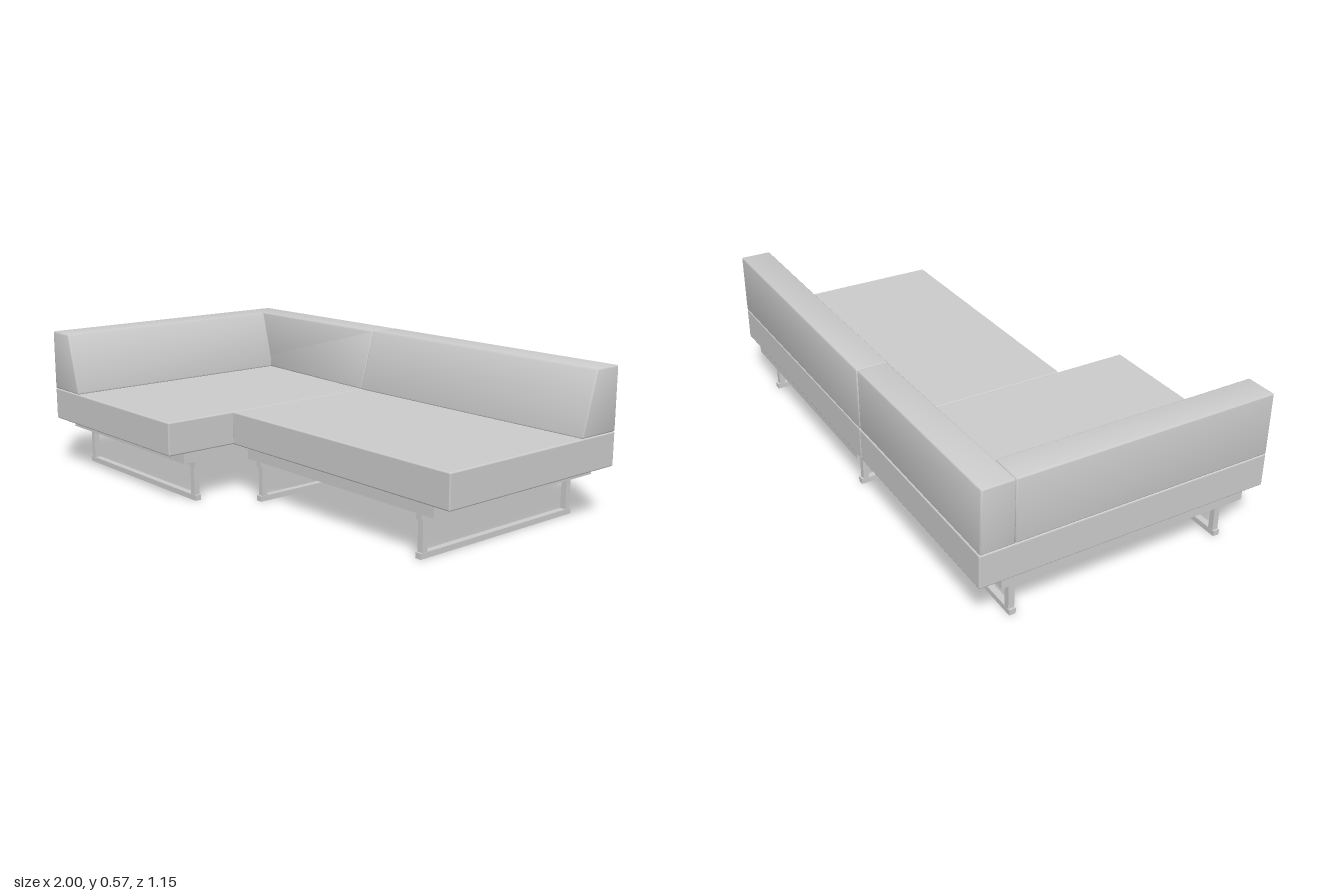
import * as THREE from 'three';
import { RoundedBoxGeometry } from 'three/addons/geometries/RoundedBoxGeometry.js';
import { toCreasedNormals } from 'three/addons/utils/BufferGeometryUtils.js';

const material = new THREE.MeshStandardMaterial({ color: 0xcccccc });
const lerp = THREE.MathUtils.lerp;

function addMesh(parent, name, geometry) {
  const mesh = new THREE.Mesh(geometry, material);
  mesh.name = name;
  parent.add(mesh);
  return mesh;
}

// Box given by its limits on each axis
function addBox(parent, name, [x0, x1], [y0, y1], [z0, z1]) {
  const box = addMesh(parent, name, new THREE.BoxGeometry(x1 - x0, y1 - y0, z1 - z0));
  box.position.set((x0 + x1) / 2, (y0 + y1) / 2, (z0 + z1) / 2);
}

// Softly edged cushion; reshape(point) may move its vertices
function addCushion(parent, name, [x0, x1], [y0, y1], [z0, z1], reshape) {
  const geo = new RoundedBoxGeometry(x1 - x0, y1 - y0, z1 - z0, 2, 0.006);
  geo.translate((x0 + x1) / 2, (y0 + y1) / 2, (z0 + z1) / 2);
  if (reshape) {
    const pos = geo.attributes.position;
    const p = new THREE.Vector3();
    for (let i = 0; i < pos.count; i++) {
      reshape(p.fromBufferAttribute(pos, i));
      pos.setXYZ(i, p.x, p.y, p.z);
    }
  }
  addMesh(parent, name, reshape ? toCreasedNormals(geo, 0.6) : geo);
}

// Rectangular sled leg lying along x, centred on its own origin
function makeSledLeg(name, length) {
  const leg = new THREE.Group();
  leg.name = name;
  const h = length / 2, t = 0.0125;
  addBox(leg, 'floorBar', [-h, h], [0, 0.021], [-t, t]);
  addBox(leg, 'topBar', [-h, h], [0.135, 0.156], [-t, t]);
  for (const s of [-1, 1]) {
    const x = s * (h - 0.02);
    addBox(leg, 'post', [x - 0.0115, x + 0.0115], [0.021, 0.135], [-0.0115, 0.0115]);
  }
  return leg;
}

export function createModel() {
  const sofa = new THREE.Group();
  sofa.name = 'cornerSofa';
  const seatY = [0.2, 0.329], backY = [0.329, 0.571], baseY = [0.156, 0.2];
  const rise = (p) => (p.y - backY[0]) / (backY[1] - backY[0]);

  // Long chaise section
  const chaise = new THREE.Group();
  chaise.name = 'chaiseSection';
  sofa.add(chaise);
  addCushion(chaise, 'chaiseSeat', [-1, -0.145], seatY, [-0.575, 0.575]);
  addBox(chaise, 'chaiseBase', [-0.985, -0.16], baseY, [-0.485, 0.5]);

  // Arm with sloping inner face
  addCushion(chaise, 'armRest', [-1, -0.81], backY, [-0.445, 0.575], (p) => {
    if (p.x > -0.9) p.x -= 0.065 * rise(p);
  });

  // Back whose slope fades out toward the corner
  addCushion(chaise, 'chaiseBack', [-1, -0.145], backY, [-0.573, -0.445], (p) => {
    const along = (p.x + 1) / 0.855;
    if (p.z > -0.5) p.z += along * lerp(0.055, -0.01, rise(p));
    else p.z += 0.005 * (1 - along) * rise(p);
  });
  for (const z of [-0.42, 0.435]) {
    const leg = makeSledLeg('chaiseLeg', 0.785);
    leg.position.set(-0.557, 0, z);
    chaise.add(leg);
  }

  // Shorter bench section
  const bench = new THREE.Group();
  bench.name = 'benchSection';
  sofa.add(bench);
  addCushion(bench, 'benchSeat', [-0.145, 0.997], seatY, [-0.575, 0.28]);
  addBox(bench, 'benchBase', [-0.07, 0.915], baseY, [-0.56, 0.265]);
  addCushion(bench, 'benchBack', [-0.145, 0.997], backY, [-0.575, -0.388], (p) => {
    if (p.z > -0.5) p.z -= 0.065 * rise(p);
  });
  for (const x of [-0.006, 0.847]) {
    const leg = makeSledLeg('benchLeg', 0.787);
    leg.rotation.y = Math.PI / 2;
    leg.position.set(x, 0, -0.13);
    bench.add(leg);
  }
  return sofa;
}
